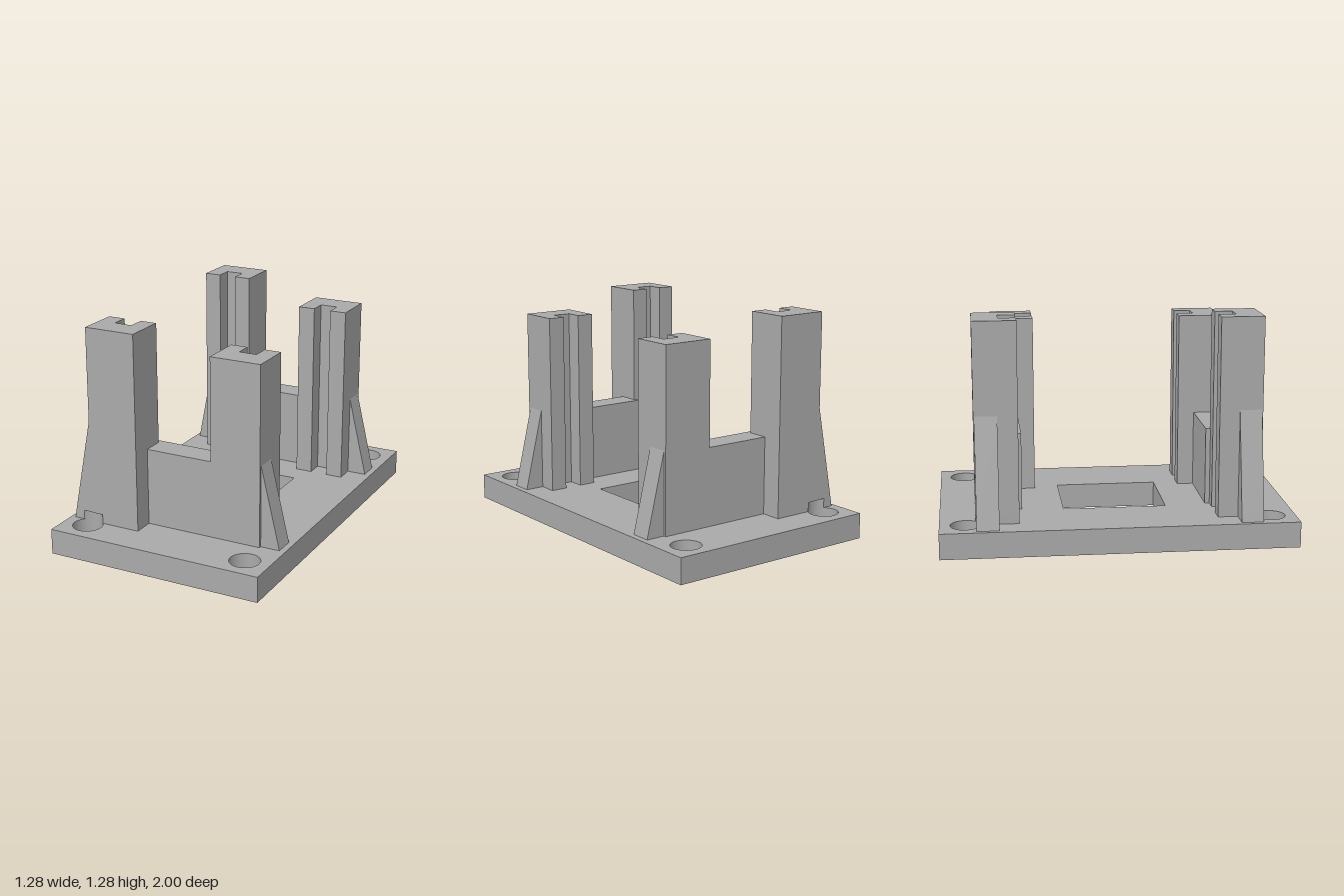
import * as THREE from 'three';
import { toCreasedNormals } from 'three/addons/utils/BufferGeometryUtils.js';

const BASE_TOP = 0.147;
const HOLE_R = 0.085;
const HOLE_X = 0.493;
const HOLE_Z = 0.855;
const BITE_TOP = 0.2; // the left rear screw recess cuts the tower foot up to here

export function createModel() {
  const model = new THREE.Group();
  const grey = new THREE.MeshStandardMaterial({ color: 0xaaaaaa });
  grey.name = 'plain grey';

  const add = (name, geometry) => {
    const mesh = new THREE.Mesh(toCreasedNormals(geometry, 0.5), grey);
    mesh.name = name;
    model.add(mesh);
    return mesh;
  };
  const outline = (points) => new THREE.Shape(points.map(([x, y]) => new THREE.Vector2(x, y)));

  // Upright prism from a plan drawn in (x, z); side = -1 mirrors it to the back
  const prism = (points, side, y0, y1) => {
    const shape = outline(points.map(([x, z]) => [x, -z * side]));
    const geometry = new THREE.ExtrudeGeometry(shape, { depth: y1 - y0, bevelEnabled: false });
    return geometry.rotateX(-Math.PI / 2).translate(0, y0, 0);
  };

  // Triangular brace drawn in (x, y), spanning z0 to z1
  const brace = (points, side, z0, z1) => {
    const geometry = new THREE.ExtrudeGeometry(outline(points), { depth: z1 - z0, bevelEnabled: false });
    return geometry.translate(0, 0, side > 0 ? z0 : -z1);
  };

  // Base plate with window and four screw holes
  const plate = outline([[-0.64, -1], [0.64, -1], [0.64, 1], [-0.64, 1]]);
  plate.holes.push(outline([[-0.247, -0.295], [-0.247, 0.295], [0.245, 0.295], [0.245, -0.295]]));
  for (const x of [-HOLE_X, HOLE_X]) {
    for (const y of [-HOLE_Z, HOLE_Z]) {
      plate.holes.push(new THREE.Path().absarc(x, y, HOLE_R, 0, Math.PI * 2, true));
    }
  }
  const plateGeometry = new THREE.ExtrudeGeometry(plate, { depth: BASE_TOP, bevelEnabled: false, curveSegments: 24 });
  add('basePlate', plateGeometry.rotateX(-Math.PI / 2));

  // Tower plan with a slot on its inner face
  const slotted = (x0, x1, z0, z1) => [
    [x0, z1], [x1, z1], [x1, z0], [x1 - 0.097, z0], [x1 - 0.097, z0 + 0.098],
    [x0 + 0.098, z0 + 0.098], [x0 + 0.098, z0], [x0, z0],
  ];

  // Arc of the screw recess where it bites into the tall tower and its brace
  const a0 = Math.PI + Math.asin((HOLE_Z - 0.795) / HOLE_R);
  const a1 = Math.PI * 2 - Math.asin((HOLE_Z - 0.8) / HOLE_R);
  const bite = Array.from({ length: 13 }, (_, i) => {
    const a = a0 + (a1 - a0) * i / 12;
    return [-HOLE_X + HOLE_R * Math.cos(a), HOLE_Z + HOLE_R * Math.sin(a)];
  });

  for (const side of [1, -1]) {
    const end = side > 0 ? 'front' : 'back';
    const tall = slotted(-0.497, -0.199, 0.557, 0.8);
    const short = slotted(0.196, 0.493, 0.435, 0.68);

    // Tall tower foot joined with the foot of its brace
    const foot = prism(
      [[-0.615, 0.67], [-0.615, 0.795], ...bite, ...tall.slice(1), [-0.497, 0.67]],
      side, BASE_TOP, BITE_TOP,
    );
    const p = foot.attributes.position;
    for (let i = 0; i < p.count; i++) {
      if (p.getX(i) < -0.61 && p.getY(i) > 0.18) p.setX(i, -0.605); // follow the brace slope
    }
    foot.computeVertexNormals();
    add(end + 'TallTowerFoot', foot);
    add(end + 'TallTower', prism(tall, side, BITE_TOP, 1.282));
    add(end + 'TallBrace', brace([[-0.605, BITE_TOP], [-0.497, BITE_TOP], [-0.497, 0.76]], side, 0.67, 0.795));

    // Short tower and its brace
    add(end + 'ShortTower', prism(short, side, BASE_TOP, 1.183));
    add(end + 'ShortBrace', brace([[0.493, BASE_TOP], [0.605, BASE_TOP], [0.493, 0.615]], side, 0.545, 0.665));

    // Low wall linking the two towers, lapping the inner corner of the tall one
    add(end + 'Wall', prism(
      [[-0.199, 0.68], [0.196, 0.68], [0.196, 0.53], [-0.222, 0.53], [-0.222, 0.557], [-0.199, 0.557]],
      side, BASE_TOP, 0.592,
    ));
  }
  return model;
}
